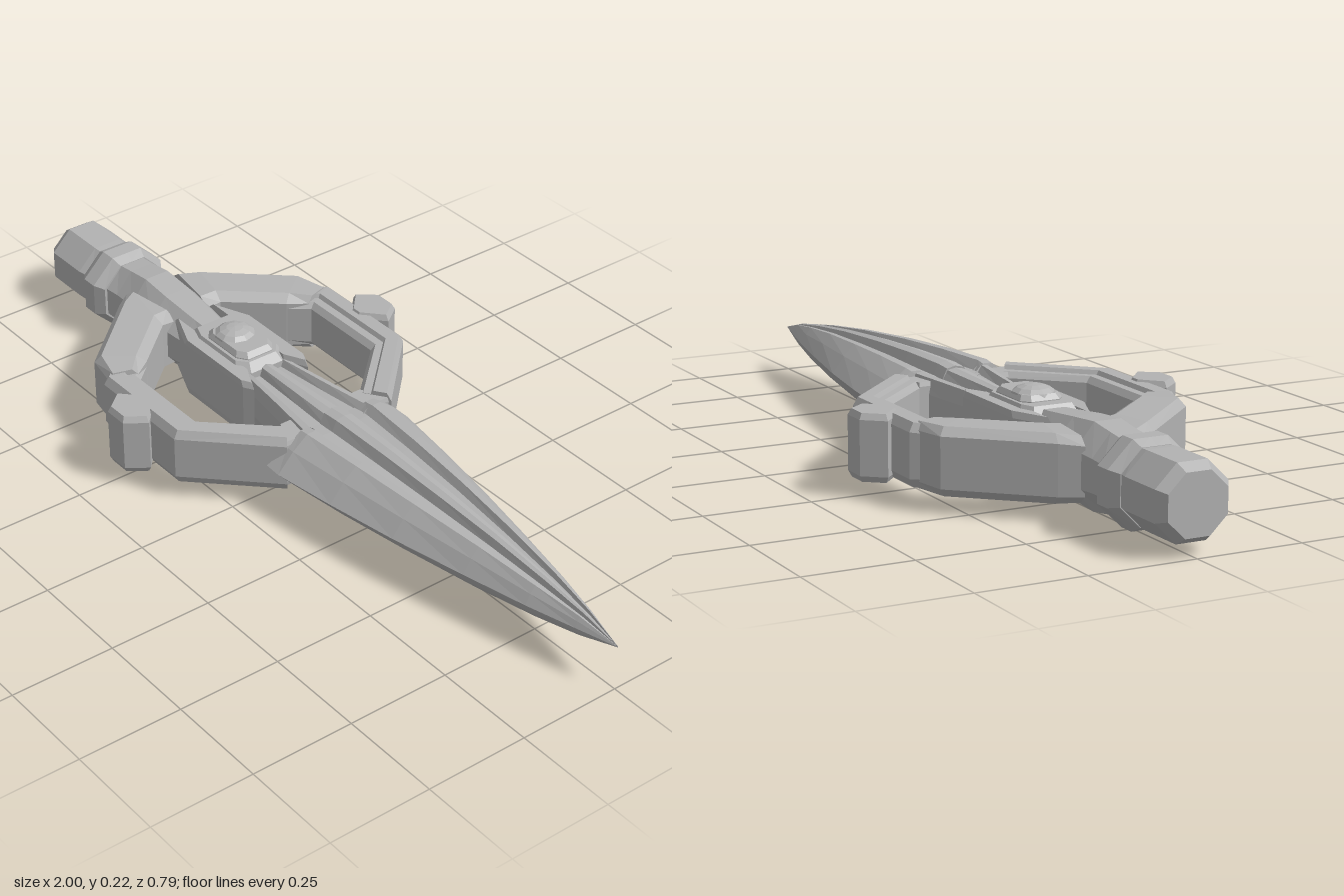
import * as THREE from 'three';

const CY = 0.115; // height of the long axis
const steel = new THREE.MeshStandardMaterial({ color: 0xb2b2b2, flatShading: true });
steel.name = 'grey steel';

// Closed faceted skin through rings of [x, y, z], always facing outward
function loft(rings) {
  const tris = [];
  const n = rings[0].length;
  for (let i = 0; i < rings.length - 1; i++) {
    for (let j = 0; j < n; j++) {
      const k = (j + 1) % n, a = rings[i], b = rings[i + 1];
      tris.push([a[j], a[k], b[k]], [a[j], b[k], b[j]]);
    }
  }
  const cap = (ring, flip) => {
    const c = [0, 1, 2].map(d => ring.reduce((s, p) => s + p[d], 0) / n);
    ring.forEach((p, j) => {
      const q = ring[(j + 1) % n];
      tris.push(flip ? [c, q, p] : [c, p, q]);
    });
  };
  cap(rings[0], true);
  cap(rings[rings.length - 1], false);
  let volume = 0;
  const v = p => new THREE.Vector3(...p);
  for (const [a, b, c] of tris) volume += v(a).dot(v(b).cross(v(c)));
  if (volume < 0) tris.forEach(t => t.reverse());
  const geo = new THREE.BufferGeometry();
  geo.setAttribute('position', new THREE.Float32BufferAttribute(tris.flat(2), 3));
  geo.computeVertexNormals();
  return geo;
}

// Full outline from a quarter profile [z, y] running from the top centre to the side edge
function quarterRing(profile, x, sz, sy, shift = () => 0) {
  const half = [...profile, ...profile.slice(0, -1).reverse().map(([z, y]) => [z, -y])];
  const full = [...half, ...half.slice(1, -1).reverse().map(([z, y]) => [-z, y])];
  return full.map(([z, y]) => [x + shift(Math.abs(z)), CY + y * sy, z * sz]);
}

// Flat plate from an [x, z] outline with chamfered top and bottom
function plate(outline, h, chamfer, shrink) {
  const cx = outline.reduce((s, p) => s + p[0], 0) / outline.length;
  const cz = outline.reduce((s, p) => s + p[1], 0) / outline.length;
  return loft([[-h, shrink], [chamfer - h, 1], [h - chamfer, 1], [h, shrink]].map(([y, s]) =>
    outline.map(([x, z]) => [cx + (x - cx) * s, CY + y, cz + (z - cz) * s])));
}

// Bar whose stations are [outerX, outerZ, innerX, innerZ, halfHeight]
function bar(stations, profile, side) {
  const section = [...profile, ...[...profile].reverse().map(([t, y]) => [t, -y])];
  return loft(stations.map(([ox, oz, ix, iz, h]) =>
    section.map(([t, y]) => [ox + (ix - ox) * t, CY + y * h, side * (oz + (iz - oz) * t)])));
}

export function createModel() {
  const model = new THREE.Group();
  model.name = 'spearhead';
  const add = (name, geo, parent = model) => {
    const mesh = new THREE.Mesh(geo, steel);
    mesh.name = name;
    parent.add(mesh);
    return mesh;
  };

  // Blade: fluted ridge between two sharp lobes, with a notched root
  const bladeProfile = [[0, 0.083], [0.022, 0.078], [0.034, 0.052], [0.068, 0.055],
    [0.082, 0.076], [0.105, 0.076], [0.145, 0.045], [0.187, 0]];
  const notch = z => (z > 0.08 && z < 0.15 ? 0.02 : 0);
  add('blade', loft([
    quarterRing(bladeProfile, 0.045, 0.99, 0.96, notch),
    quarterRing(bladeProfile, 0.09, 1, 1),
    quarterRing(bladeProfile, 0.25, 0.88, 0.97),
    quarterRing(bladeProfile, 0.43, 0.72, 0.88),
    quarterRing(bladeProfile, 0.62, 0.51, 0.73),
    quarterRing(bladeProfile, 0.78, 0.32, 0.53),
    quarterRing(bladeProfile, 0.9, 0.15, 0.32),
    quarterRing(bladeProfile, 1, 0.004, 0.01),
  ]));

  // Fluted neck that widens from the hub into the blade
  const neckProfile = [[0, 0.076], [0.022, 0.072], [0.034, 0.05], [0.068, 0.052],
    [0.08, 0.07], [0.096, 0.068], [0.104, 0.03], [0.104, 0]];
  add('neck', loft([
    quarterRing(neckProfile, -0.26, 0.5, 0.75),
    quarterRing(neckProfile, -0.2, 0.6, 0.9),
    quarterRing(neckProfile, -0.05, 0.8, 0.95),
    quarterRing(neckProfile, 0.08, 1, 1),
  ]));

  // Handle: octagonal grip, collar and swelling shoulder [x, halfWidth, halfHeight]
  const t = Math.tan(Math.PI / 8);
  const octagon = [[0, 1], [t, 1], [1, t], [1, 0]];
  const turned = list => loft(list.map(([x, w, h]) => quarterRing(octagon, x, w, h)));
  add('grip', turned([[-1, 0.07, 0.068], [-0.975, 0.086, 0.084], [-0.86, 0.086, 0.084],
    [-0.82, 0.078, 0.082], [-0.72, 0.072, 0.08]]));
  add('collar', turned([[-0.84, 0.084, 0.084], [-0.815, 0.1, 0.097], [-0.775, 0.1, 0.097],
    [-0.75, 0.084, 0.085]]));
  add('shoulder', turned([[-0.76, 0.078, 0.083], [-0.71, 0.075, 0.088], [-0.645, 0.078, 0.097],
    [-0.56, 0.08, 0.09], [-0.45, 0.068, 0.078], [-0.36, 0.055, 0.07]]));

  // Hub with a domed rivet above and below
  add('hub', plate([[-0.43, -0.055], [-0.39, -0.07], [-0.23, -0.07], [-0.2, -0.045],
    [-0.2, 0.045], [-0.23, 0.07], [-0.39, 0.07], [-0.43, 0.055]], 0.082, 0.02, 0.85));
  add('rivetSeat', plate([[-0.38, -0.035], [-0.36, -0.052], [-0.25, -0.052], [-0.225, -0.035],
    [-0.225, 0.035], [-0.25, 0.052], [-0.36, 0.052], [-0.38, 0.035]], 0.096, 0.012, 0.86));
  for (const up of [1, -1]) {
    const dome = new THREE.SphereGeometry(0.052, 10, 4, 0, Math.PI * 2, 0, Math.PI / 2);
    dome.scale(1, 0.5, 1);
    if (up < 0) dome.rotateX(Math.PI);
    dome.translate(-0.325, CY + up * 0.086, 0);
    add(up > 0 ? 'upperRivet' : 'lowerRivet', dome);
  }

  // Guard arms, the same on both sides
  const railProfile = [[0, -0.72], [0, 0.72], [0.14, 1], [0.55, 1], [0.62, 0.86], [0.86, 0.86], [1, 0.66]]
    .slice(1);
  const rearProfile = [[0, 0.75], [0.14, 1], [0.8, 1], [1, 0.78]];
  for (const side of [1, -1]) {
    const arm = new THREE.Group();
    arm.name = side > 0 ? 'leftGuard' : 'rightGuard';
    model.add(arm);
    const mirror = list => list.map(([x, z]) => [x, z * side]);

    add('guardRail', bar([
      [-0.56, 0.15, -0.49, 0.1, 0.06],
      [-0.385, 0.332, -0.355, 0.25, 0.071],
      [-0.105, 0.332, -0.125, 0.25, 0.071],
      [0.075, 0.15, 0.01, 0.105, 0.071],
    ], railProfile, side), arm);
    add('guardRear', bar([
      [-0.675, 0.07, -0.5, 0.045, 0.072],
      [-0.64, 0.115, -0.5, 0.085, 0.076],
      [-0.47, 0.302, -0.395, 0.205, 0.076],
      [-0.385, 0.318, -0.365, 0.25, 0.074],
    ], rearProfile, side), arm);

    // Faceted stud on the outside of the guard
    add('guardStud', plate(mirror([[-0.315, 0.348], [-0.275, 0.396], [-0.215, 0.396],
      [-0.18, 0.348], [-0.235, 0.298], [-0.262, 0.298]]), 0.076, 0.014, 0.86), arm);

    // Prong beside the hub and small tab tying the guard to the neck
    add('hubProng', plate(mirror([[-0.5, 0.05], [-0.4, 0.092], [-0.17, 0.092], [-0.145, 0.078],
      [-0.2, 0.05]]), 0.074, 0.015, 0.92), arm);
    add('guardTab', plate(mirror([[0.0, 0.08], [0.0, 0.115], [0.07, 0.15], [0.07, 0.08]]),
      0.06, 0.01, 0.92), arm);
  }
  return model;
}
